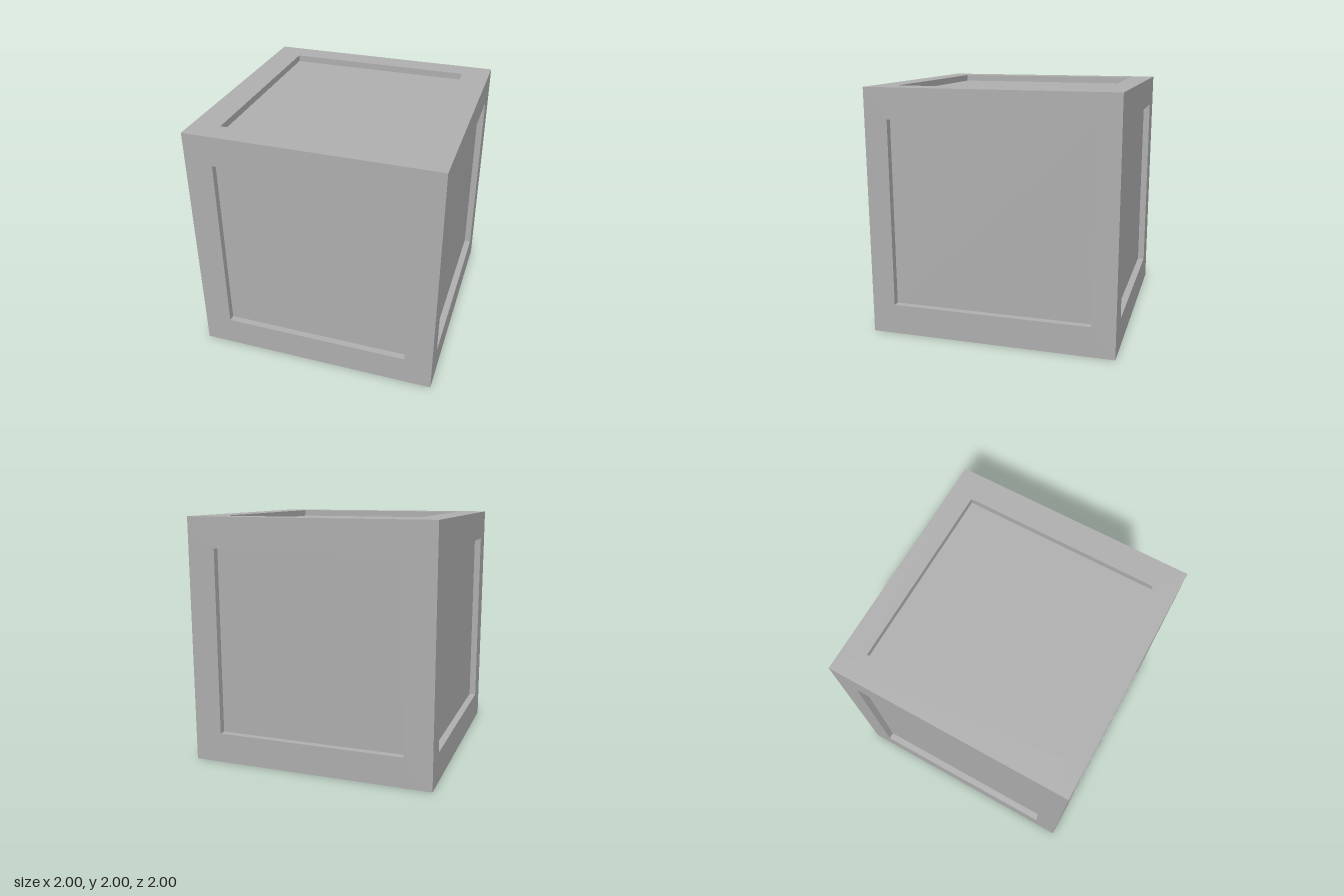
import * as THREE from 'three';

const HALF = 1;       // half edge of the cube
const DEPTH = 0.055;  // depth of the sunken panels
const RX = 0.773, RY = 0.756, RZ = 0.81; // recess half sizes along each axis

// Rectangle corners, counter-clockwise seen from +z
const rect = (w, h, z) => [[-w, -h, z], [w, -h, z], [w, h, z], [-w, h, z]];

// Border of one side: flat rim from the cube edge to the recess, then its walls
function frameGeometry(w, h) {
  const loops = [rect(HALF, HALF, HALF), rect(w, h, HALF), rect(w, h, HALF - DEPTH)];
  const points = [];
  for (let k = 0; k < 2; k++) {
    for (let i = 0; i < 4; i++) {
      const j = (i + 1) % 4;
      const a = loops[k][i], b = loops[k][j], c = loops[k + 1][j], d = loops[k + 1][i];
      points.push(...a, ...b, ...c, ...a, ...c, ...d);
    }
  }
  const geometry = new THREE.BufferGeometry();
  geometry.setAttribute('position', new THREE.Float32BufferAttribute(points, 3));
  geometry.computeVertexNormals();
  return geometry;
}

export function createModel() {
  const grey = new THREE.MeshStandardMaterial({ color: 0xb2b2b2 });
  grey.name = 'grey';

  const model = new THREE.Group();
  model.name = 'panelledCube';

  // name, rotation about x, rotation about y, recess half width and height
  const sides = [
    ['front', 0, 0, RX, RY],
    ['back', 0, Math.PI, RX, RY],
    ['left', 0, Math.PI / 2, RZ, RY],
    ['right', 0, -Math.PI / 2, RZ, RY],
    ['top', -Math.PI / 2, 0, RX, RZ],
    ['bottom', Math.PI / 2, 0, RX, RZ],
  ];

  for (const [name, rotX, rotY, w, h] of sides) {
    const side = new THREE.Group();
    side.name = name + 'Side';

    const frame = new THREE.Mesh(frameGeometry(w, h), grey);
    frame.name = name + 'Frame';

    // Sunken panel closing the recess
    const panel = new THREE.Mesh(new THREE.PlaneGeometry(2 * w, 2 * h), grey);
    panel.name = name + 'Panel';
    panel.position.z = HALF - DEPTH;

    side.add(frame, panel);
    side.rotation.set(rotX, rotY, 0);
    side.position.y = HALF;
    model.add(side);
  }
  return model;
}
